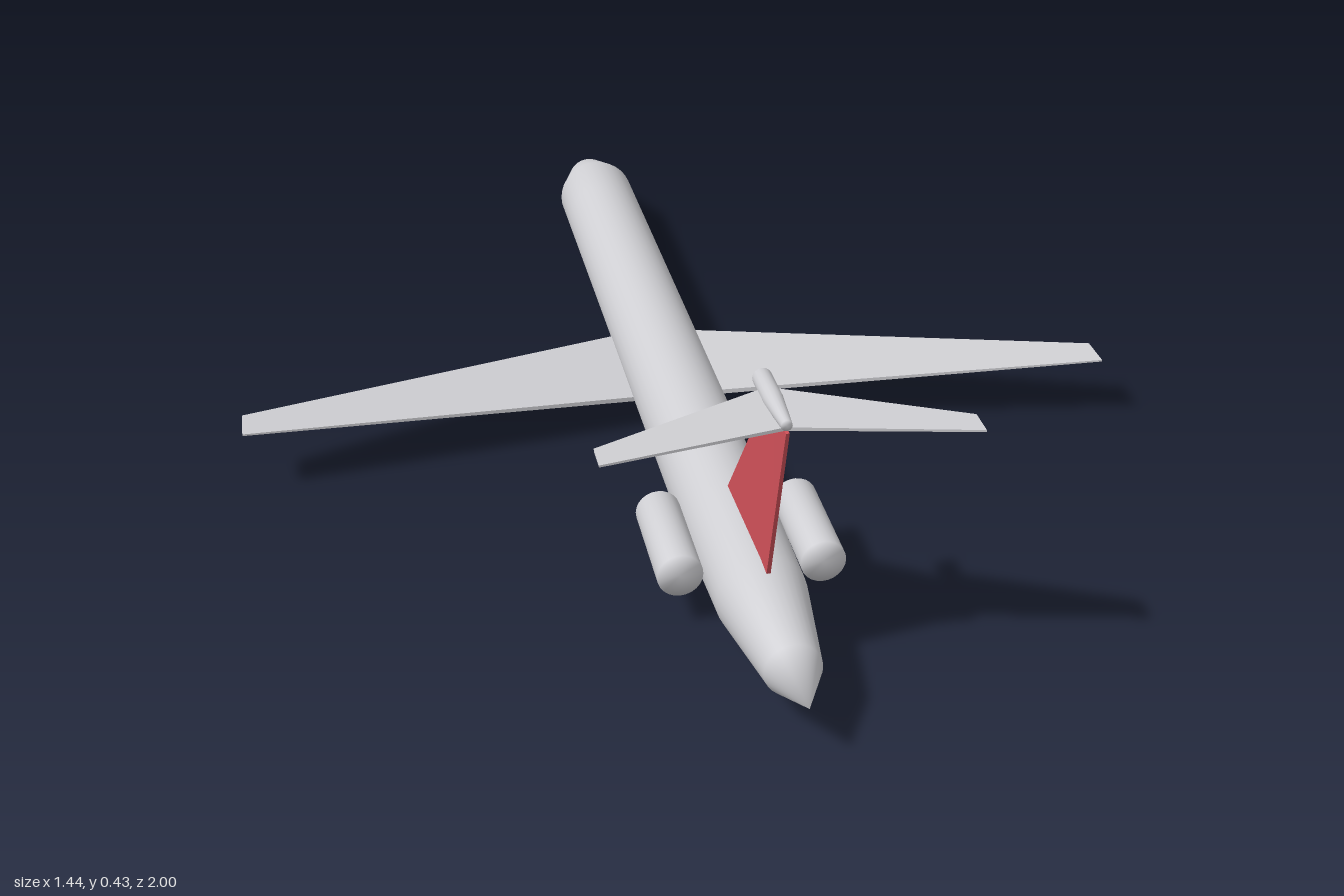
import * as THREE from 'three';
import { mergeVertices } from 'three/addons/utils/BufferGeometryUtils.js';

const lerp = THREE.MathUtils.lerp;

// Round body along z from stations [z, radius, centreY], with normals blended over every ring.
function roundBody(stations, sides) {
  const geometry = new THREE.LatheGeometry(stations.map(([z, r]) => new THREE.Vector2(r, z)), sides);
  geometry.rotateX(Math.PI / 2);
  geometry.deleteAttribute('uv');
  geometry.deleteAttribute('normal');
  const p = geometry.attributes.position;
  for (let i = 0; i < p.count; i++) {
    const ring = stations[i % stations.length];
    p.setY(i, p.getY(i) + ring[2]);
  }
  const merged = mergeVertices(geometry, 1e-5);
  merged.computeVertexNormals();
  return merged;
}

// Tapered flying surface spanning along x; each section gives its span position,
// height, leading and trailing z, and leading and trailing thickness.
function panel(root, tip, side = 1) {
  const geometry = new THREE.BoxGeometry(1, 1, 1);
  const p = geometry.attributes.position;
  for (let i = 0; i < p.count; i++) {
    const u = p.getX(i) * side + 0.5;
    const w = p.getZ(i) + 0.5;
    const mix = (key) => lerp(root[key], tip[key], u);
    const thickness = lerp(mix('leadT'), mix('trailT'), w);
    p.setXYZ(i, side * mix('x'), mix('y') + p.getY(i) * thickness, lerp(mix('lead'), mix('trail'), w));
  }
  geometry.computeVertexNormals();
  return geometry;
}

export function createModel() {
  const model = new THREE.Group();
  model.name = 'airliner';

  const grey = new THREE.MeshStandardMaterial({ color: 0xcfcfd3 });
  grey.name = 'light grey';
  const red = new THREE.MeshStandardMaterial({ color: 0xd2525a });
  red.name = 'tail red';

  function add(name, geometry, material) {
    const mesh = new THREE.Mesh(geometry, material);
    mesh.name = name;
    model.add(mesh);
    return mesh;
  }

  // Fuselage: pointed nose at -z, upswept tail cone at +z
  add('fuselage', roundBody([
    [-1, 0, 0.071], [-0.925, 0.04, 0.073], [-0.82, 0.072, 0.074], [-0.7, 0.072, 0.074],
    [0.5, 0.072, 0.074], [0.72, 0.067, 0.079], [0.91, 0.041, 0.086], [1, 0, 0.087],
  ], 32), grey);

  for (const side of [1, -1]) {
    const label = side > 0 ? 'left' : 'right';

    // Main wing, swept back with slight dihedral
    add(label + 'Wing', panel(
      { x: 0.06, y: 0.057, lead: -0.187, trail: 0.048, leadT: 0.014, trailT: 0.008 },
      { x: 0.72, y: 0.11, lead: 0.092, trail: 0.155, leadT: 0.005, trailT: 0.003 },
      side), grey);

    // Engine on the rear fuselage, tilted slightly nose up
    const engine = add(label + 'Engine', roundBody([
      [-0.09, 0, 0], [-0.09, 0.034, 0], [0.09, 0.034, 0], [0.09, 0, 0],
    ], 24), grey);
    engine.position.set(side * 0.106, 0.09, 0.565);
    engine.rotation.x = 0.02;

    // Tailplane on top of the fin
    add(label + 'Tailplane', panel(
      { x: 0, y: 0.412, lead: 0.718, trail: 0.832, leadT: 0.008, trailT: 0.005 },
      { x: 0.256, y: 0.414, lead: 0.845, trail: 0.889, leadT: 0.004, trailT: 0.003 },
      side), grey);
  }

  // Fin: a panel turned upright
  const fin = panel(
    { x: 0.125, y: 0, lead: 0.495, trail: 0.75, leadT: 0.014, trailT: 0.006 },
    { x: 0.412, y: 0, lead: 0.738, trail: 0.845, leadT: 0.007, trailT: 0.005 });
  fin.rotateZ(Math.PI / 2);
  add('fin', fin, red);

  // Fairing where the fin meets the tailplane
  add('finFairing', roundBody([
    [0.692, 0, 0.418], [0.692, 0.014, 0.418], [0.76, 0.014, 0.418],
    [0.838, 0.008, 0.42], [0.838, 0, 0.42],
  ], 16), grey);

  return model;
}
